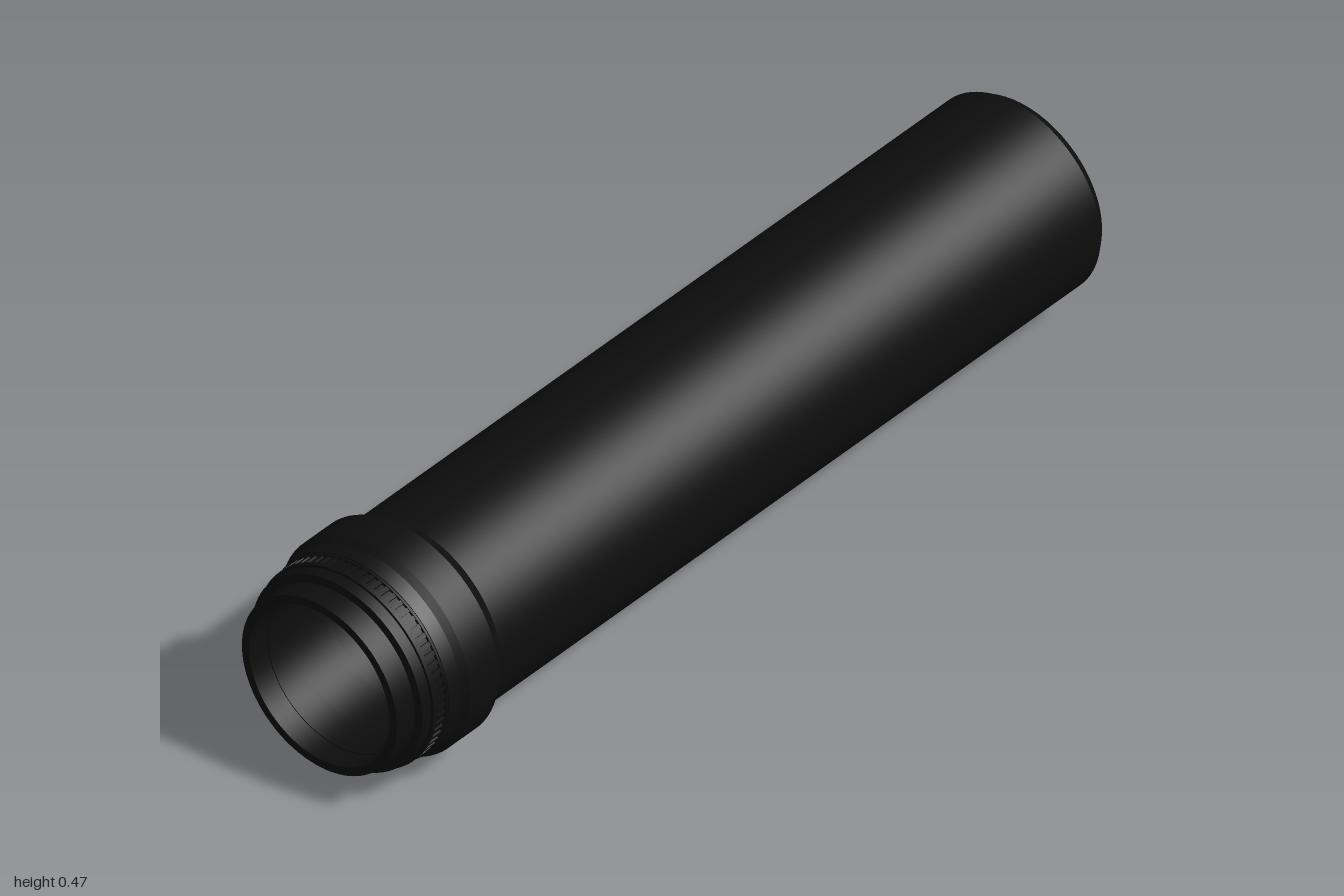
import * as THREE from 'three';
import { toCreasedNormals } from 'three/addons/utils/BufferGeometryUtils.js';

const black = new THREE.MeshStandardMaterial({ color: 0x0d0d0d });
black.name = 'matte black';

// Closed ring of revolution about the x axis; profile is [x, radius], outside left to right, inside back.
function turned(name, profile, segments = 96) {
  const points = [...profile, profile[0]].map(([x, r]) => new THREE.Vector2(r, x));
  const geometry = toCreasedNormals(new THREE.LatheGeometry(points, segments), 0.4);
  geometry.rotateZ(-Math.PI / 2);
  const mesh = new THREE.Mesh(geometry, black);
  mesh.name = name;
  return mesh;
}

export function createModel() {
  const model = new THREE.Group();
  model.name = 'tube';
  const axis = new THREE.Group();
  axis.name = 'turnedParts';
  axis.position.y = 0.233;
  model.add(axis);

  // Long body with a chamfered end and a central bore
  axis.add(turned('body', [
    [-0.78, 0.2], [-0.78, 0.211], [0.98, 0.211], [1, 0.197], [1, 0.067],
    [-0.7, 0.067], [-0.7, 0.172], [-0.78, 0.172],
  ]));

  // Wide collar, tapering down to the body
  axis.add(turned('collar', [
    [-0.885, 0.19], [-0.885, 0.219], [-0.855, 0.223], [-0.84, 0.233],
    [-0.76, 0.233], [-0.755, 0.226], [-0.73, 0.213], [-0.73, 0.19],
  ]));

  // Locking ring with a shallow groove
  axis.add(turned('lockRing', [
    [-0.95, 0.17], [-0.95, 0.209], [-0.925, 0.209], [-0.925, 0.215], [-0.915, 0.215],
    [-0.915, 0.211], [-0.89, 0.211], [-0.89, 0.217], [-0.88, 0.217], [-0.88, 0.17],
  ]));

  // Open rear sleeve
  axis.add(turned('rearSleeve', [
    [-1, 0.172], [-1, 0.19], [-0.94, 0.19], [-0.78, 0.19], [-0.78, 0.172],
  ]));

  // Fine grip teeth around the locking ring
  const count = 72;
  const toothGeometry = new THREE.BoxGeometry(0.026, 0.008, 0.009);
  const teeth = new THREE.Group();
  teeth.name = 'gripTeeth';
  for (let i = 0; i < count; i++) {
    const angle = (i / count) * Math.PI * 2;
    const tooth = new THREE.Mesh(toothGeometry, black);
    tooth.name = 'gripTooth';
    tooth.position.set(-0.903, Math.cos(angle) * 0.211, Math.sin(angle) * 0.211);
    tooth.rotation.x = angle;
    teeth.add(tooth);
  }
  axis.add(teeth);

  return model;
}
